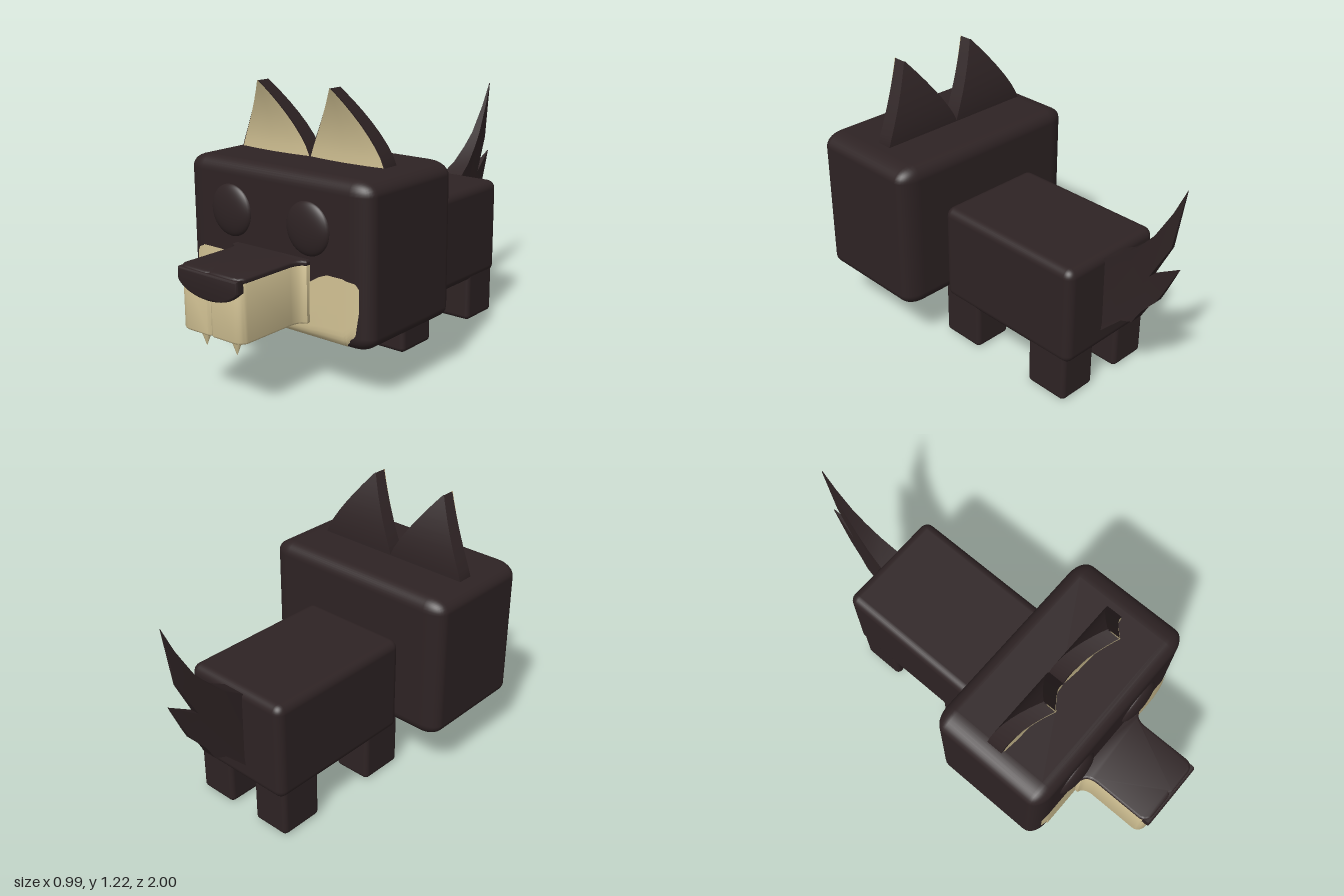
import * as THREE from 'three';
import { toCreasedNormals } from 'three/addons/utils/BufferGeometryUtils.js';
import { RoundedBoxGeometry } from 'three/addons/geometries/RoundedBoxGeometry.js';

const fur = new THREE.MeshStandardMaterial({ color: 0x2e2324 });
fur.name = 'darkFur';
const cream = new THREE.MeshStandardMaterial({ color: 0xd2c294, side: THREE.DoubleSide });
cream.name = 'creamFur';

export function createModel() {
  const model = new THREE.Group();
  model.name = 'blockyWolf';

  const add = (name, geometry, material, x = 0, y = 0, z = 0) => {
    const mesh = new THREE.Mesh(geometry, material);
    mesh.name = name;
    mesh.position.set(x, y, z);
    model.add(mesh);
    return mesh;
  };

  // Rounded box given by its limits; stretch widens the rounding along x
  const block = (name, material, [x0, x1], [y0, y1], [z0, z1], r, stretch = 1) => {
    const g = new RoundedBoxGeometry((x1 - x0) / stretch, y1 - y0, z1 - z0, 4, r);
    g.scale(stretch, 1, 1);
    return add(name, g, material, (x0 + x1) / 2, (y0 + y1) / 2, (z0 + z1) / 2);
  };

  // Surface through rows of points, rows going up and points running along +x at the front
  const loft = (rows, closed) => {
    const n = rows[0].length;
    const index = [];
    for (let i = 0; i < rows.length - 1; i++) {
      for (let j = 0; j < (closed ? n : n - 1); j++) {
        const k = (j + 1) % n;
        const a = i * n + j, b = i * n + k, c = b + n, d = a + n;
        index.push(a, b, c, a, c, d);
      }
    }
    const g = new THREE.BufferGeometry();
    g.setAttribute('position', new THREE.Float32BufferAttribute(rows.flat(2), 3));
    g.setIndex(index);
    return toCreasedNormals(g, 0.7);
  };

  // Head, body and legs
  block('head', fur, [-0.495, 0.495], [0.225, 0.91], [0.06, 0.635], 0.06, 1.6);
  block('body', fur, [-0.27, 0.26], [0.2, 0.66], [-0.67, 0.08], 0.04);
  for (const [end, z] of [['front', [-0.13, 0.085]], ['back', [-0.65, -0.44]]]) {
    block(end + 'LeftLeg', fur, [0.065, 0.255], [0, 0.26], z, 0.022);
    block(end + 'RightLeg', fur, [-0.265, -0.08], [0, 0.26], z, 0.022);
  }

  // Eyes
  for (const [name, x, y] of [['rightEye', -0.23, 0.698], ['leftEye', 0.19, 0.69]]) {
    const eye = add(name, new THREE.SphereGeometry(0.112, 32, 20), fur, x, y, 0.632);
    eye.scale.z = 0.3;
  }

  // Cheek patch following the rounded face: [x, bottom, top]
  const patch = [
    [-0.445, 0.37, 0.48], [-0.43, 0.36, 0.505], [-0.405, 0.36, 0.515], [-0.4, 0.25, 0.52],
    [-0.38, 0.232, 0.52], [-0.3, 0.23, 0.52], [-0.24, 0.23, 0.515], [-0.21, 0.23, 0.49],
    [0, 0.23, 0.48], [0.2, 0.23, 0.475], [0.25, 0.23, 0.505], [0.29, 0.23, 0.52],
    [0.37, 0.232, 0.52], [0.385, 0.25, 0.515], [0.43, 0.3, 0.51], [0.445, 0.4, 0.49],
  ];
  const faceZ = (x, y) => {
    const dx = Math.max(0, (Math.abs(x) - 0.399) / 0.096);
    const dy = Math.max(0, (0.285 - y) / 0.06);
    return 0.58 + 0.06 * Math.sqrt(Math.max(0, 1 - dx * dx - dy * dy));
  };
  const patchRows = [0, 0.03, 0.07, 0.12, 0.18, 0.25, 0.6, 1].map((t) =>
    patch.map(([x, b, top]) => {
      const y = b + (top - b) * t;
      return [x, y, faceZ(x, y)];
    }));
  add('cheekPatch', loft(patchRows, false), cream);

  // Muzzle flaring into the face, with a centre crease at the front
  const outline = new THREE.Shape();
  outline.moveTo(-0.2, 0.6);
  outline.lineTo(0.19, 0.6);
  outline.lineTo(0.19, 0.65);
  outline.quadraticCurveTo(0.16, 0.66, 0.155, 0.71);
  outline.lineTo(0.155, 0.95);
  outline.quadraticCurveTo(0.15, 0.976, 0.12, 0.98);
  outline.lineTo(0.01, 0.98);
  outline.lineTo(-0.006, 0.97);
  outline.lineTo(-0.022, 0.98);
  outline.lineTo(-0.13, 0.98);
  outline.quadraticCurveTo(-0.16, 0.976, -0.165, 0.95);
  outline.lineTo(-0.165, 0.71);
  outline.quadraticCurveTo(-0.17, 0.66, -0.2, 0.65);
  outline.closePath();
  const slab = (y0, y1, bevel) => {
    const g = new THREE.ExtrudeGeometry(outline, {
      depth: y1 - y0 - 2 * bevel, curveSegments: 6,
      bevelSize: bevel, bevelThickness: bevel, bevelSegments: 3,
    });
    g.rotateX(Math.PI / 2).translate(0, y1 - bevel, 0);
    return toCreasedNormals(g, 0.6);
  };
  add('muzzle', slab(0.3, 0.55, 0.008), cream);
  add('muzzleTop', slab(0.54, 0.565, 0.01), fur);

  // Nose hanging over the muzzle front
  const noseShape = new THREE.Shape();
  noseShape.moveTo(-0.16, 0.55);
  noseShape.lineTo(-0.16, 0.51);
  noseShape.bezierCurveTo(-0.11, 0.44, 0.1, 0.44, 0.15, 0.51);
  noseShape.lineTo(0.15, 0.55);
  noseShape.closePath();
  const nose = new THREE.ExtrudeGeometry(noseShape, {
    depth: 0.03, curveSegments: 16, bevelSize: 0.008, bevelThickness: 0.01, bevelSegments: 3,
  });
  add('nose', toCreasedNormals(nose, 0.6), fur, 0, 0, 0.96);

  // Fangs
  for (const [name, x] of [['rightFang', -0.088], ['leftFang', 0.08]]) {
    const fang = add(name, new THREE.ConeGeometry(0.038, 0.09, 16), cream, x, 0.272, 0.932);
    fang.rotation.x = Math.PI;
    fang.scale.z = 0.65;
  }

  // Ears curling forward, pale inside
  const steps = [-0.08, 0, 0.12, 0.25, 0.4, 0.55, 0.7, 0.82, 0.92, 1];
  for (const [name, x] of [['rightEar', -0.218], ['leftEar', 0.173]]) {
    const section = (t) => {
      const s = Math.max(0, t);
      return {
        w: 0.195 * (1 - s ** 1.2) + 0.002,
        y: 0.91 + 0.312 * t,
        front: 0.372 + 0.1 * s ** 1.8,
        back: 0.297 + 0.115 * s ** 1.8,
      };
    };
    const shell = steps.map((t) => {
      const { w, y, front, back } = section(t);
      return [[-w, y, front], [w, y, front], [w, y, back], [-w, y, back]];
    });
    add(name, loft(shell, true), fur, x);
    const lining = steps.map((t) => {
      const { w, y, front } = section(t);
      return [-1, -0.6, 0, 0.6, 1].map((u) =>
        [u * w * 0.97, y, front + 0.003 + 0.014 * (1 - u * u) * (1 - Math.max(0, t))]);
    });
    add(name + 'Lining', loft(lining, false), cream, x);
  }

  // Forked tail, tapering to a point at the rear
  const tailPoints = [
    [0.62, 0.28], [0.67, 0.285], [0.76, 0.375], [0.81, 0.39], [0.85, 0.46], [0.91, 0.53],
    [0.94, 0.59], [1, 0.72], [0.87, 0.635], [0.955, 0.8], [0.97, 0.89], [1, 1.07],
    [0.95, 0.955], [0.88, 0.83], [0.82, 0.76], [0.75, 0.695], [0.65, 0.635], [0.62, 0.62],
  ];
  const tailShape = new THREE.Shape(tailPoints.map(([u, y]) => new THREE.Vector2(u, y)));
  const tail = new THREE.ExtrudeGeometry(tailShape, { depth: 1, bevelEnabled: false });
  tail.translate(0, 0, -0.5).rotateY(Math.PI / 2);
  const p = tail.attributes.position;
  for (let i = 0; i < p.count; i++) {
    const width = 0.004 + 0.11 * Math.min(1, (1 + p.getZ(i)) / 0.34);
    p.setX(i, p.getX(i) * width - 0.004);
  }
  add('tail', toCreasedNormals(tail, 0.4), fur);

  return model;
}
